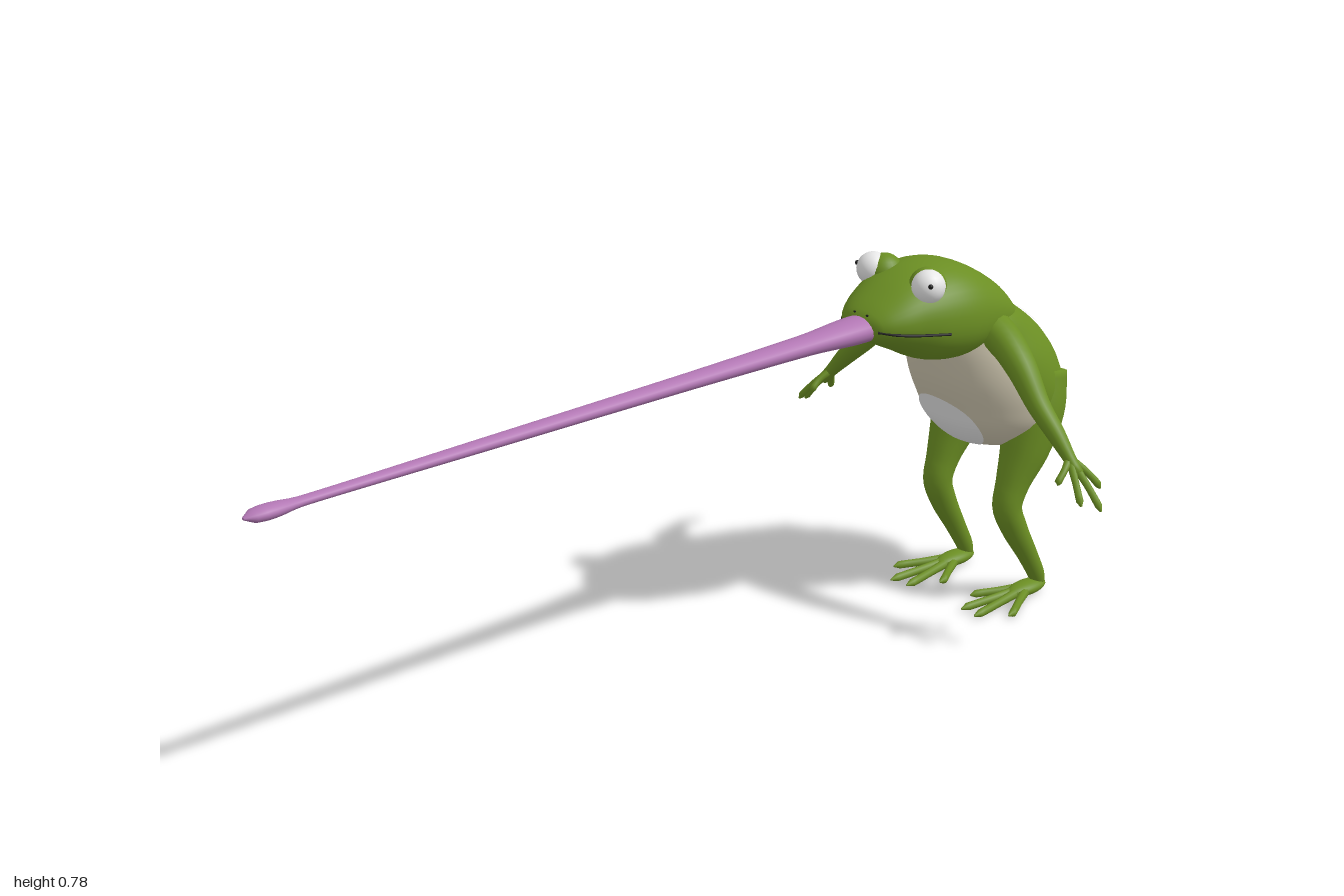
import * as THREE from 'three';

const mat = (name, color, side = THREE.FrontSide) => {
  const m = new THREE.MeshStandardMaterial({ color, side });
  m.name = name;
  return m;
};

// Smooth lookup in a table whose first column is an ascending key
function lookup(rows, key) {
  const last = rows.length - 1;
  const k = Math.min(Math.max(key, rows[0][0]), rows[last][0]);
  let i = 0;
  while (i < last - 1 && k > rows[i + 1][0]) i++;
  const h = rows[i + 1][0] - rows[i][0], t = (k - rows[i][0]) / h;
  const slope = (n, c) => {
    const a = rows[Math.max(n - 1, 0)], b = rows[Math.min(n + 1, last)];
    return (b[c] - a[c]) / (b[0] - a[0]);
  };
  return rows[i].map((p, c) => {
    const q = rows[i + 1][c], t2 = t * t, t3 = t2 * t;
    return p * (2 * t3 - 3 * t2 + 1) + q * (3 * t2 - 2 * t3)
      + h * (slope(i, c) * (t3 - 2 * t2 + t) + slope(i + 1, c) * (t3 - t2));
  });
}

// Skin over closed rings, capped at both ends; isSecond(i, j) picks material 1
function loft(rings, isSecond = () => false) {
  const n = rings[0].length, pos = [], sets = [[], []];
  rings.forEach(r => r.forEach(p => pos.push(p.x, p.y, p.z)));
  for (let i = 0; i < rings.length - 1; i++) for (let j = 0; j < n; j++) {
    const a = i * n + j, b = i * n + (j + 1) % n;
    sets[isSecond(i, j) ? 1 : 0].push(a, b, a + n, b, b + n, a + n);
  }
  [0, rings.length - 1].forEach((i, end) => {
    const c = rings[i].reduce((s, p) => s.add(p), new THREE.Vector3()).divideScalar(n);
    const ci = pos.length / 3;
    pos.push(c.x, c.y, c.z);
    for (let j = 0; j < n; j++) {
      const a = i * n + j, b = i * n + (j + 1) % n;
      sets[isSecond(i, j) ? 1 : 0].push(...(end ? [ci, a, b] : [ci, b, a]));
    }
  });
  const g = new THREE.BufferGeometry();
  g.setAttribute('position', new THREE.Float32BufferAttribute(pos, 3));
  g.setIndex([...sets[0], ...sets[1]]);
  g.addGroup(0, sets[0].length, 0);
  g.addGroup(sets[0].length, sets[1].length, 1);
  g.computeVertexNormals();
  return g;
}

// Tapered round limb through points [x, y, z, radius]
function limb(pts, steps = 24, sides = 14) {
  const path = new THREE.CatmullRomCurve3(pts.map(p => new THREE.Vector3(p[0], p[1], p[2])));
  const f = path.computeFrenetFrames(steps);
  const rings = [];
  for (let i = 0; i <= steps; i++) {
    const u = i / steps, c = path.getPointAt(u);
    const k = path.getUtoTmapping(u) * (pts.length - 1);
    const r = lookup(pts.map((p, n) => [n, p[3]]), k)[1];
    rings.push(Array.from({ length: sides }, (_, j) => {
      const a = j / sides * Math.PI * 2;
      return c.clone().addScaledVector(f.normals[i], r * Math.cos(a))
        .addScaledVector(f.binormals[i], r * Math.sin(a));
    }));
  }
  return loft(rings);
}

// Body profile: height, front z, back z, half width
const BODY = [
  [0.333, -0.82, -0.89, 0.03], [0.34, -0.775, -0.925, 0.07], [0.36, -0.735, -0.97, 0.107],
  [0.4, -0.697, -0.99, 0.14], [0.45, -0.672, -0.985, 0.153], [0.5, -0.65, -0.967, 0.155],
  [0.55, -0.635, -0.94, 0.148], [0.6, -0.625, -0.897, 0.132], [0.65, -0.63, -0.83, 0.112],
  [0.69, -0.65, -0.77, 0.07],
];
// Head profile: depth behind the origin, top y, bottom y, half width
const HEAD = [
  [0.438, 0.682, 0.662, 0.02], [0.447, 0.697, 0.645, 0.052], [0.48, 0.722, 0.625, 0.082],
  [0.53, 0.75, 0.6, 0.104], [0.58, 0.766, 0.575, 0.12], [0.64, 0.768, 0.563, 0.128],
  [0.7, 0.752, 0.565, 0.123], [0.77, 0.71, 0.575, 0.107], [0.82, 0.66, 0.58, 0.08],
];

export function createModel() {
  const green = mat('skin green', 0x6b8e23), cream = mat('belly cream', 0xcdc5ae);
  const white = mat('white', 0xf0f0f0), pink = mat('tongue mauve', 0xb277b4);
  const black = mat('black', 0x1a1a1a);
  const group = new THREE.Group();
  const add = (name, geo, m) => {
    const mesh = new THREE.Mesh(geo, m);
    mesh.name = name;
    group.add(mesh);
    return mesh;
  };
  const ball = (name, r, m, p, s = [1, 1, 1]) => {
    const b = add(name, new THREE.SphereGeometry(r, 24, 16), m);
    b.position.set(...p);
    b.scale.set(...s);
  };

  // Hunched body, green behind and cream in front
  const N = 48, bodyRings = [];
  for (let i = 0; i <= 36; i++) {
    const y = 0.333 + 0.357 * (i / 36) ** 1.4;
    const [, front, back, w] = lookup(BODY, y);
    bodyRings.push(Array.from({ length: N }, (_, j) => {
      const a = j / N * Math.PI * 2;
      return new THREE.Vector3(w * Math.cos(a), y,
        (front + back) / 2 - (front - back) / 2 * Math.sin(a));
    }));
  }
  add('body', loft(bodyRings, (i, j) => j >= N / 2 + 1 && j < N - 1 && bodyRings[i][0].y < 0.61), [green, cream]);

  // Round white patches laid on the body skin, side = 1 front, -1 back
  const patch = (name, side, cy, rx, ry) => {
    const g = new THREE.RingGeometry(0.001, 1, 40, 10), p = g.attributes.position;
    for (let i = 0; i < p.count; i++) {
      const x = p.getX(i) * rx * side, y = cy + p.getY(i) * ry;
      const [, front, back, w] = lookup(BODY, y);
      const bulge = Math.sqrt(Math.max(0, 1 - (x / w) ** 2));
      p.setXYZ(i, x, y, (front + back) / 2 + side * ((front - back) / 2 * bulge + 0.005));
    }
    g.computeVertexNormals();
    add(name, g, white);
  };
  patch('bellyPatch', 1, 0.404, 0.08, 0.066);
  patch('backPatch', -1, 0.602, 0.075, 0.053);

  // Broad head running back from the snout
  const headRings = [];
  for (let i = 0; i <= 36; i++) {
    const d = 0.438 + 0.382 * (i / 36) ** 1.5;
    const [, top, bottom, w] = lookup(HEAD, d);
    const mid = bottom + (top - bottom) * 0.47;
    headRings.push(Array.from({ length: 40 }, (_, j) => {
      const a = j / 40 * Math.PI * 2, c = Math.cos(a), s = -Math.sin(a);
      return new THREE.Vector3(w * Math.sign(c) * Math.abs(c) ** 0.9,
        mid + (s > 0 ? top - mid : mid - bottom) * Math.sign(s) * Math.abs(s) ** 0.92, -d);
    }));
  }
  add('head', loft(headRings), green);

  // Long tongue shot straight forward
  const tongue = limb([[0, 0, -0.54, 0.034], [0, 0, -0.43, 0.04], [0, 0, -0.3, 0.03],
    [0, 0, 0, 0.023], [0, 0, 0.5, 0.017], [0, 0, 0.88, 0.013], [0, 0, 0.94, 0.02],
    [0, 0, 0.98, 0.018], [0, 0, 1, 0.004]], 80, 18);
  tongue.scale(1, 0.66, 1).translate(0, 0.664, 0);
  add('tongue', tongue, pink);

  for (const s of [1, -1]) {
    const side = s > 0 ? 'left' : 'right';
    const mirrored = pts => pts.map(([x, y, z, r]) => [x * s, y, z, r]);
    const part = (name, pts, steps, sides) =>
      add(side + name, limb(mirrored(pts), steps, sides), green);

    // Eyes, lids, nostrils and mouth line
    ball(side + 'EyeLid', 0.038, green, [0.06 * s, 0.74, -0.57]);
    ball(side + 'Eye', 0.034, white, [0.077 * s, 0.746, -0.555]);
    ball(side + 'Pupil', 0.005, black, [0.102 * s, 0.756, -0.535]);
    ball(side + 'Nostril', 0.004, black, [0.017 * s, 0.694, -0.449], [1.3, 0.7, 1]);
    const lip = [0.446, 0.47, 0.5, 0.54, 0.58].map((d, i) =>
      new THREE.Vector3(s * (lookup(HEAD, d)[3] - 0.001), 0.668 - i * 0.004, -d));
    add(side + 'MouthLine',
      new THREE.TubeGeometry(new THREE.CatmullRomCurve3(lip), 20, 0.003, 6), black);

    // Arm with four splayed fingers
    part('Arm', [[0.07, 0.625, -0.73, 0.045], [0.13, 0.612, -0.72, 0.037],
      [0.19, 0.575, -0.708, 0.032], [0.25, 0.51, -0.7, 0.024], [0.3, 0.462, -0.7, 0.019],
      [0.34, 0.42, -0.7, 0.013], [0.362, 0.397, -0.7, 0.012]]);
    [[0.35, 0.385, -0.655], [0.4, 0.352, -0.668], [0.42, 0.337, -0.705], [0.383, 0.365, -0.742]]
      .forEach(([x, y, z], i) => part('Finger' + (i + 1), [[0.338, 0.422, -0.7, 0.009],
        [(0.338 + x) / 2 + 0.004, (0.422 + y) / 2, -0.7 + (z + 0.7) * 0.6, 0.007],
        [x, y, z, 0.007], [x + 0.002, y - 0.004, z, 0.002]], 10, 8));

    // Bent leg with thigh, knee, shin and heel
    part('Leg', [[0.085, 0.5, -0.88, 0.06], [0.096, 0.42, -0.862, 0.063],
      [0.1, 0.34, -0.834, 0.052], [0.1, 0.27, -0.802, 0.036], [0.1, 0.22, -0.788, 0.031],
      [0.102, 0.17, -0.808, 0.028], [0.104, 0.1, -0.85, 0.022], [0.104, 0.04, -0.884, 0.018],
      [0.104, 0.014, -0.893, 0.013]], 36, 16);

    // Flat foot with long spread toes
    ball(side + 'Foot', 0.03, green, [0.104 * s, 0.018, -0.855], [0.8, 0.5, 1.8]);
    [[0.045, -0.755], [0.08, -0.69], [0.122, -0.685], [0.168, -0.74]].forEach(([x, z], i) =>
      part('Toe' + (i + 1), [[0.104, 0.018, -0.86, 0.012],
        [(0.104 + x) / 2, 0.014, (z - 0.86) / 2, 0.009], [x, 0.011, z, 0.008],
        [x, 0.011, z + 0.007, 0.002]], 10, 8));
  }
  return group;
}
